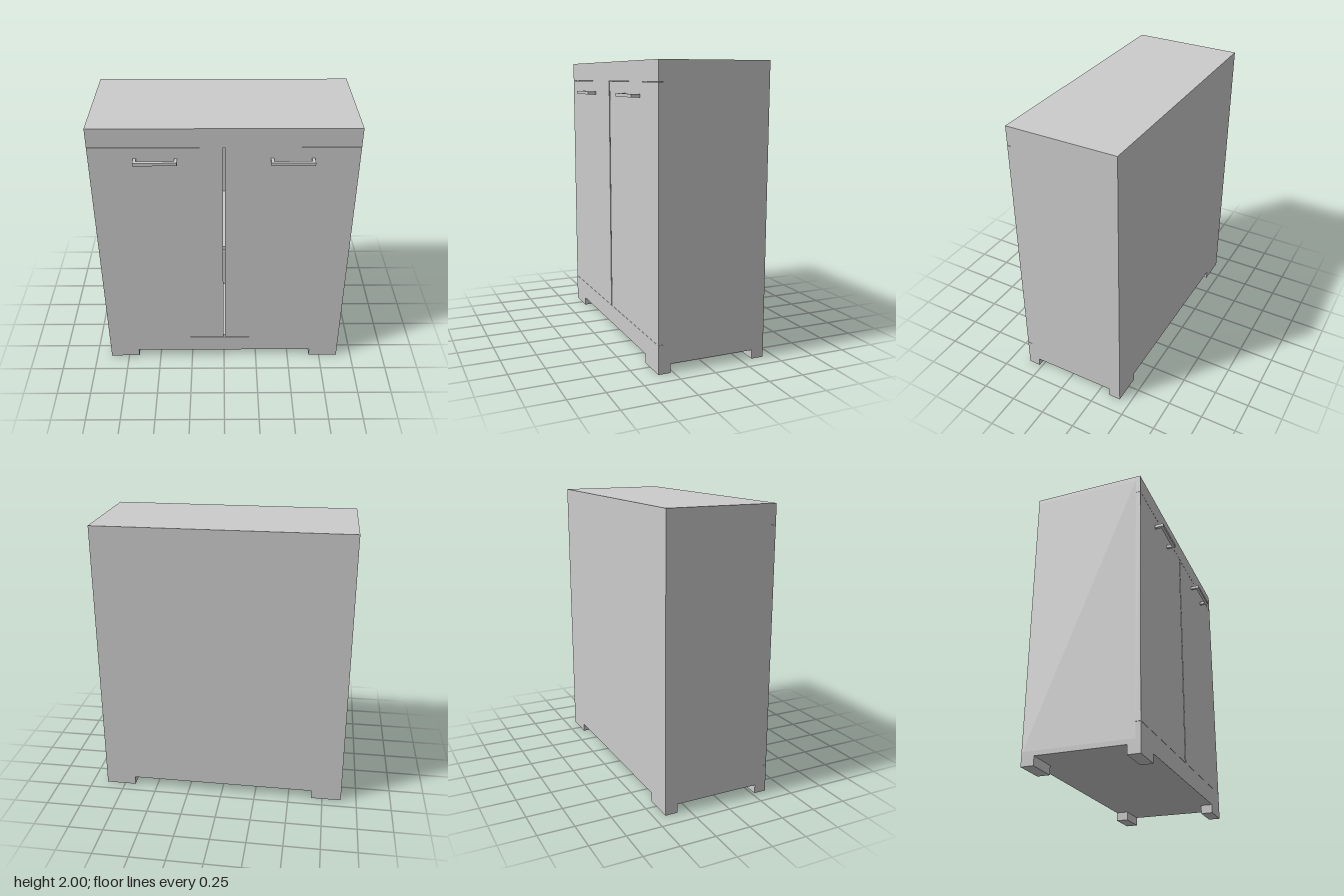
import * as THREE from 'three';

export function createModel() {
  const model = new THREE.Group();
  model.name = 'cabinet';
  const material = new THREE.MeshStandardMaterial({ color: 0xcccccc });

  // Box given by its extents along each axis
  const box = (name, [x0, x1], [y0, y1], [z0, z1], parent = model) => {
    const mesh = new THREE.Mesh(new THREE.BoxGeometry(x1 - x0, y1 - y0, z1 - z0), material);
    mesh.position.set((x0 + x1) / 2, (y0 + y1) / 2, (z0 + z1) / 2);
    mesh.name = name;
    parent.add(mesh);
    return mesh;
  };

  const W = 0.888, T = 0.032;           // half width, board thickness
  const back = -0.422, backFace = -0.416, carcass = 0.325, front = 0.358;
  const base = 0.062, top = 2;
  const full = [-W, W], inner = [-W + T, W - T], depth = [backFace, carcass];

  // Carcass
  box('topPanel', full, [top - T, top], depth);
  box('bottomPanel', full, [base, base + T], depth);
  box('backPanel', full, [base, top], [back, backFace]);
  box('shelf', inner, [1.02, 1.05], depth);

  // Front rails
  box('topRail', full, [1.866, top], [carcass, front]);
  box('bottomRail', full, [base, 0.197], [carcass, front]);

  // Parts repeated on both sides
  for (const [side, s] of [['left', 1], ['right', -1]]) {
    const span = (a, b) => (s > 0 ? [a, b] : [-b, -a]);
    box(side + 'SidePanel', span(W - T, W), [base + T, top - T], depth);
    box(side + 'Door', span(0.006, W), [0.199, 1.864], [carcass, front]);

    // Bar handle on two posts
    const handle = new THREE.Group();
    handle.name = side + 'Handle';
    model.add(handle);
    const hy = [1.765, 1.787];
    box('handleBar', span(0.305, 0.592), hy, [0.4, 0.422], handle);
    box('innerPost', span(0.305, 0.325), hy, [front, 0.4], handle);
    box('outerPost', span(0.572, 0.592), hy, [front, 0.4], handle);

    // Block feet
    box(side + 'FrontFoot', span(0.67, W), [0, base], [0.272, front]);
    box(side + 'BackFoot', span(0.67, W), [0, base], [back, -0.334]);
  }
  return model;
}
